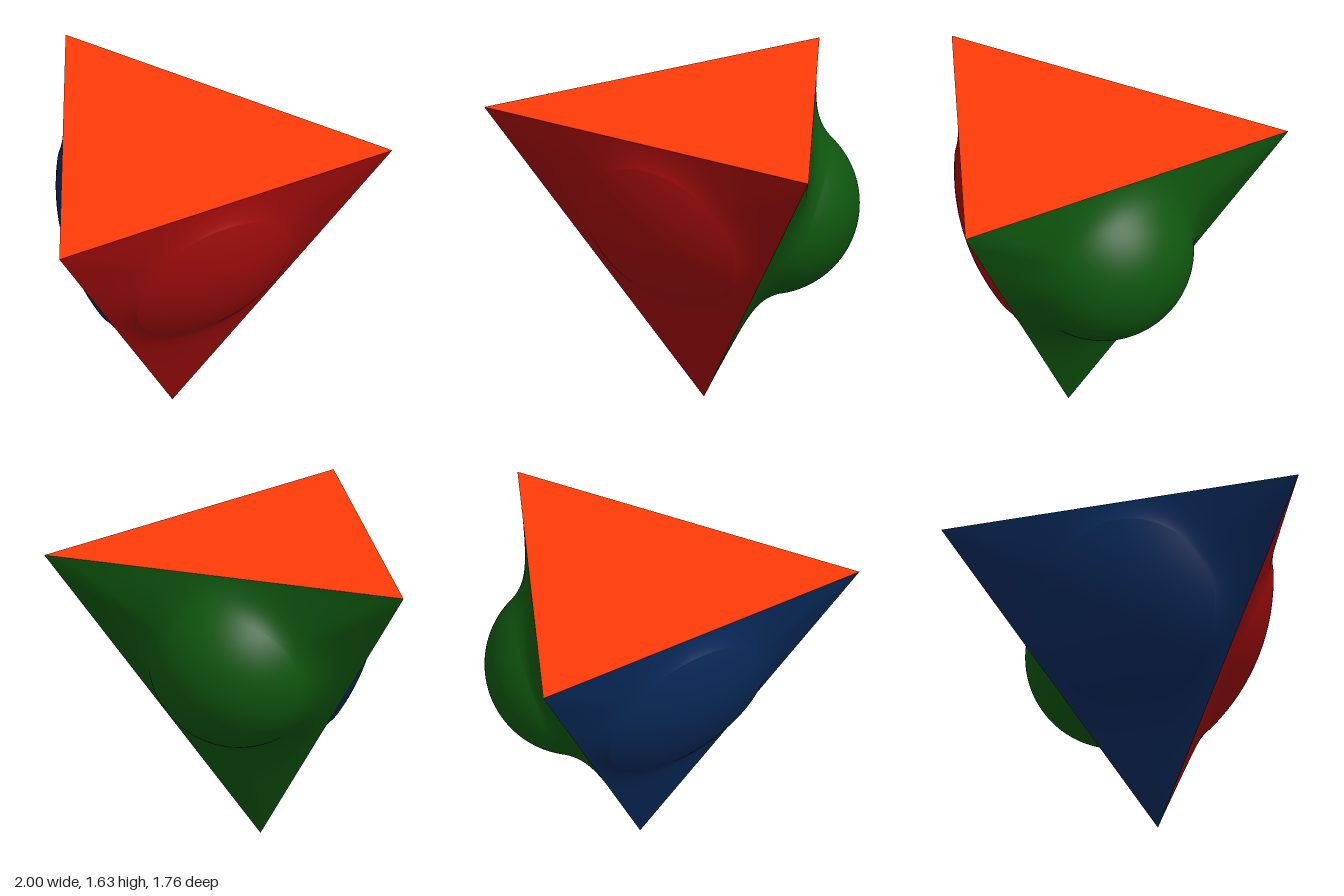
import * as THREE from 'three';

const H = 1.633; // height of the tetrahedron
const A = new THREE.Vector3(-1, H, 0.855);
const B = new THREE.Vector3(1, H, 0.855);
const C = new THREE.Vector3(0, H, -0.877);
const D = new THREE.Vector3(0, 0, 0.278);
const SEGMENTS = 120, RINGS = 26;
const INRADIUS = 1 / Math.sqrt(3);

// Triangular skin stretched over a spherical cap that pushes out of its middle.
// radius, height: the cap; film: skin height at the foot of the cap;
// fillet, reach: extra rise there and how far it carries outwards
function bulgingFace(name, corners, color, { radius, height, film, fillet, reach }) {
  const [p, q, s] = corners;
  const centre = new THREE.Vector3().add(p).add(q).add(s).divideScalar(3);
  const n = q.clone().sub(p).cross(s.clone().sub(p)).normalize();
  const u = p.clone().sub(centre).normalize();
  const v = n.clone().cross(u);

  const drop = radius - height; // depth of the sphere's centre below the face
  const footAngle = Math.acos((film + fillet + drop) / radius);
  const foot = radius * Math.sin(footAngle);

  const positions = [], index = [];
  for (let j = 0; j <= 2 * RINGS; j++) {
    for (let i = 0; i < SEGMENTS; i++) {
      const a = (i / SEGMENTS) * Math.PI * 2;
      // distance from the centre to the triangle's border in this direction
      const edge = INRADIUS / Math.cos((a % (Math.PI * 2 / 3)) - Math.PI / 3);
      let r, h;
      if (j <= RINGS) { // spherical cap
        const phi = (j / RINGS) * footAngle;
        r = radius * Math.sin(phi);
        h = radius * Math.cos(phi) - drop;
      } else { // skin from the foot of the cap out to the border
        const t = ((j - RINGS) / RINGS) ** 1.6;
        r = foot + (edge - foot) * t;
        h = film * (1 - t) ** 1.1 + fillet * Math.exp(-(r - foot) / reach) * (1 - t);
      }
      const w = centre.clone()
        .addScaledVector(u, r * Math.cos(a))
        .addScaledVector(v, r * Math.sin(a))
        .addScaledVector(n, h);
      positions.push(w.x, w.y, w.z);
      if (j < 2 * RINGS) {
        const k = j * SEGMENTS, i2 = (i + 1) % SEGMENTS;
        const a0 = k + i, b0 = k + i2, a1 = a0 + SEGMENTS, b1 = b0 + SEGMENTS;
        if (j > 0) index.push(a0, b1, b0);
        index.push(a0, a1, b1);
      }
    }
  }
  const geometry = new THREE.BufferGeometry();
  geometry.setAttribute('position', new THREE.Float32BufferAttribute(positions, 3));
  geometry.setIndex(index);
  geometry.computeVertexNormals();
  // the innermost ring is a single point: give it the face direction
  for (let i = 0; i < SEGMENTS; i++) geometry.attributes.normal.setXYZ(i, n.x, n.y, n.z);
  const mesh = new THREE.Mesh(geometry, new THREE.MeshStandardMaterial({ color, side: THREE.DoubleSide }));
  mesh.name = name;
  return mesh;
}

export function createModel() {
  const model = new THREE.Group();
  model.name = 'bulgingTetrahedron';

  // flat top
  const topGeometry = new THREE.BufferGeometry().setFromPoints([A, B, C]);
  topGeometry.computeVertexNormals();
  const top = new THREE.Mesh(topGeometry, new THREE.MeshStandardMaterial({ color: 0xff3a08, side: THREE.DoubleSide }));
  top.name = 'topFace';
  model.add(top);

  // three sloping sides, each swelling by a different amount
  model.add(
    bulgingFace('frontFace', [D, B, A], 0xa00c0c, { radius: 1.1, height: 0.162, film: 0.04, fillet: 0.025, reach: 0.08 }),
    bulgingFace('leftFace', [D, C, B], 0x0f560f, { radius: 0.48, height: 0.43, film: 0.095, fillet: 0.06, reach: 0.06 }),
    bulgingFace('rightFace', [D, A, C], 0x08295a, { radius: 1.1, height: 0.175, film: 0.04, fillet: 0.025, reach: 0.08 }),
  );
  return model;
}
